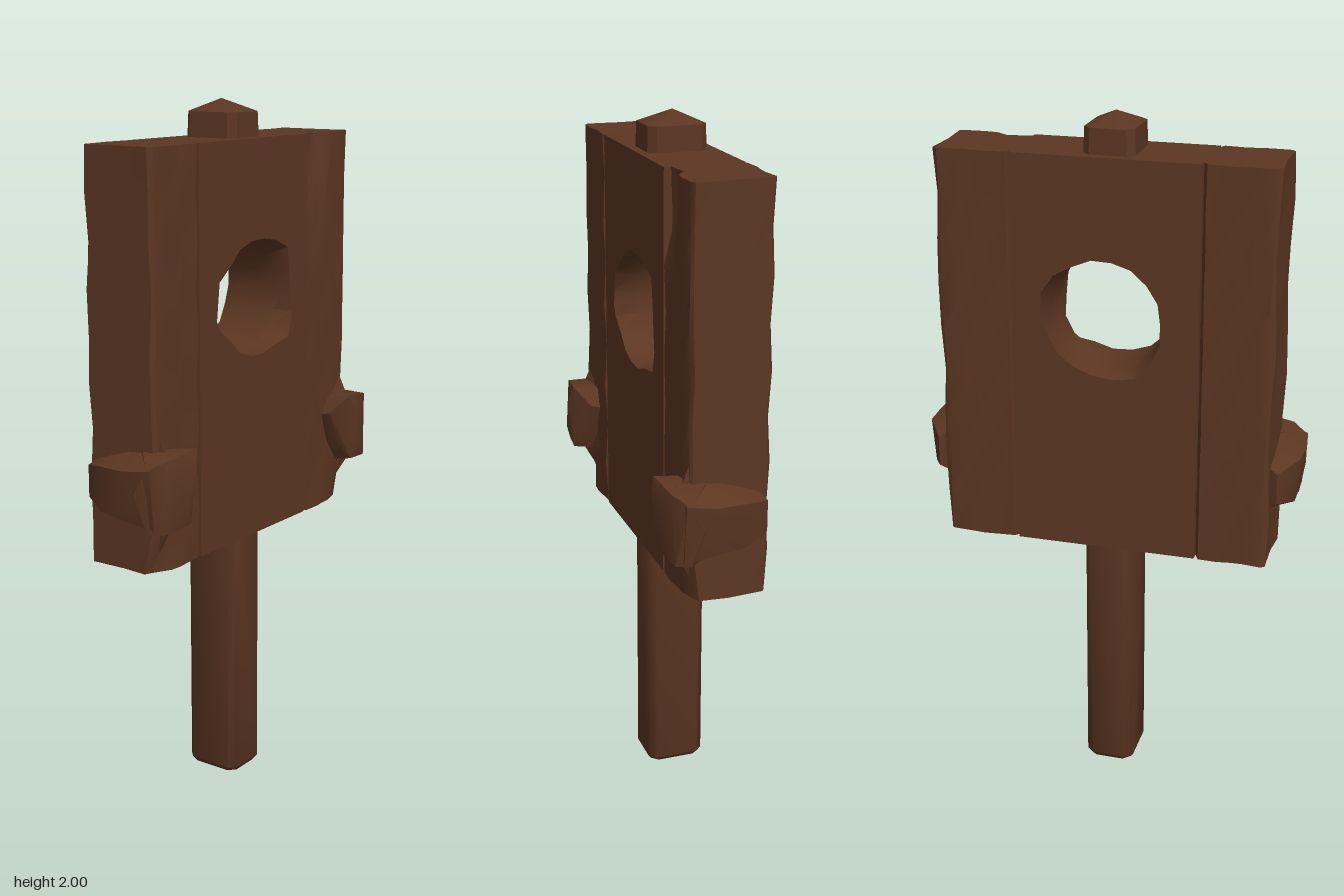
import * as THREE from 'three';
import { toCreasedNormals } from 'three/addons/utils/BufferGeometryUtils.js';
import { ConvexGeometry } from 'three/addons/geometries/ConvexGeometry.js';

const BOTTOM = 0.755, TOP = 1.895, BACK = -0.15, FRONT = 0.075;
const HOLE = { x: 0, y: 1.45, r: 0.165 };

// Repeatable roughness that depends only on position
const rough = (a, b, c, amount) => amount * Math.sin(a * 37.1 + b * 23.7 + c * 51.3);

function moveVertices(geometry, rule) {
  const p = geometry.attributes.position;
  const v = new THREE.Vector3();
  for (let i = 0; i < p.count; i++) {
    rule(v.fromBufferAttribute(p, i));
    p.setXYZ(i, v.x, v.y, v.z);
  }
  return geometry;
}

function addMesh(parent, name, geometry, material, crease = 0.6) {
  const mesh = new THREE.Mesh(toCreasedNormals(geometry, crease), material);
  mesh.name = name;
  parent.add(mesh);
  return mesh;
}

// Side plank with chamfered long edges and a worn surface
function sidePlank(x0, x1, chipped) {
  const w = x1 - x0, h = TOP - BOTTOM, d = FRONT - BACK;
  const g = new THREE.BoxGeometry(w, h, d, 6, 9, 2);
  g.translate((x0 + x1) / 2, (TOP + BOTTOM) / 2, (FRONT + BACK) / 2);
  const middle = (FRONT + BACK) / 2;
  return moveVertices(g, (v) => {
    const t = (v.x - x0) / w;
    const face = Math.abs(v.z - middle) > 0.1;
    const edge = Math.min(t, 1 - t);
    const outer = (t < 0.5) === (x0 < 0);
    // Draw the second column towards the edge to form a narrow chamfer
    if (edge > 0.1 && edge < 0.2) v.x = t < 0.5 ? x0 + 0.012 : x1 - 0.012;
    if (face && edge < 0.01) v.z -= Math.sign(v.z - middle) * (outer ? 0.008 : 0.022);
    if (face) v.z += rough(v.x, v.y, v.z, 0.004);
    if (outer && edge < 0.01) v.x += rough(v.y, v.z, v.x, 0.005);
    // Splintered upper front corner
    if (chipped && v.z > 0.04 && v.y > 1.72 && t > 0.1 && t < 0.4) v.z -= 0.025;
    // Worn lower front corner
    if (v.z > 0.04 && v.y < 0.8 && outer && edge < 0.2) v.z -= 0.025;
  });
}

// Middle plank with a rough opening, widened by chips at both faces
function middlePlank(x0, x1) {
  const shape = new THREE.Shape();
  shape.moveTo(x0, BOTTOM);
  shape.lineTo(x1, BOTTOM);
  shape.lineTo(x1, TOP);
  shape.lineTo(x0, TOP);
  shape.closePath();
  const ring = [];
  for (let i = 0; i < 18; i++) {
    const a = -i / 18 * Math.PI * 2;
    const r = HOLE.r * (i % 2 ? 0.985 : 1);
    ring.push(new THREE.Vector2(HOLE.x + r * Math.cos(a), HOLE.y + r * Math.sin(a)));
  }
  shape.holes.push(new THREE.Path(ring));
  const g = new THREE.ExtrudeGeometry(shape, {
    depth: FRONT - BACK, steps: 4, bevelEnabled: false
  });
  g.translate(0, 0, BACK);
  moveVertices(g, (v) => {
    const dx = v.x - HOLE.x, dy = v.y - HOLE.y;
    if (Math.hypot(dx, dy) > 0.2) return;
    const a = Math.atan2(dy, dx);
    const near = (target, width) => Math.max(0, 1 - Math.abs(a - target) / width);
    let k = 1.015;
    if (v.z > FRONT - 0.01) {
      k += 0.32 * near(-0.6, 0.5) + 0.22 * near(0.75, 0.5)
        + 0.3 * Math.max(0, 1 - (Math.PI - Math.abs(a)) / 0.7);
    } else if (v.z < BACK + 0.01) {
      k += 0.15 * near(-2.2, 0.8) + 0.12 * near(0.4, 0.6);
    } else if (v.z > 0) k = 1.01;
    v.x = HOLE.x + dx * k;
    v.y = HOLE.y + dy * k;
  });
  g.computeVertexNormals();
  return g;
}

// Square post section with cut corners
function postRing(y, inset) {
  const x0 = -0.083 + inset, x1 = 0.062 - inset, z0 = -0.122 + inset, z1 = 0.05 - inset, c = 0.02;
  return [
    [x0 + c, z0], [x1 - c, z0], [x1, z0 + c], [x1, z1 - c],
    [x1 - c, z1], [x0 + c, z1], [x0, z1 - c], [x0, z0 + c]
  ].map(([x, z]) => new THREE.Vector3(x, y, z));
}

// Rounded lump from corner points, mirrored by side
const lump = (side, points) =>
  new ConvexGeometry(points.map(([x, y, z]) => new THREE.Vector3(x * side, y, z)));

export function createModel() {
  const model = new THREE.Group();
  model.name = 'woodenBoardOnPost';
  const wood = new THREE.MeshStandardMaterial({ color: 0x5c3622 });
  wood.name = 'dark brown wood';

  // Board of three planks
  const board = new THREE.Group();
  board.name = 'board';
  model.add(board);
  addMesh(board, 'rightPlank', sidePlank(-0.477, -0.272, false), wood);
  addMesh(board, 'middlePlank', middlePlank(-0.272, 0.254), wood);
  addMesh(board, 'leftPlank', sidePlank(0.254, 0.47, true), wood);

  // Post below and its pointed end above the board
  addMesh(model, 'post', new ConvexGeometry([
    ...postRing(0, 0.01), ...postRing(0.015, 0), ...postRing(0.78, 0)
  ]), wood, 0.9);
  addMesh(model, 'postTip', new ConvexGeometry([
    ...postRing(1.87, 0), ...postRing(1.965, 0.003), new THREE.Vector3(-0.012, 2, -0.04)
  ]), wood, 0.4);

  // Clasps that wrap round both sides of the board
  for (const side of [-1, 1]) {
    const clasp = new THREE.Group();
    clasp.name = side > 0 ? 'leftClasp' : 'rightClasp';
    model.add(clasp);
    addMesh(clasp, 'claspSide', lump(side, [
      [0.46, 1.06, -0.12], [0.46, 0.92, -0.11], [0.5, 1.04, -0.135], [0.5, 0.95, -0.135],
      [0.55, 1.06, -0.06], [0.54, 0.93, -0.06], [0.46, 1.1, 0], [0.46, 0.9, 0],
      [0.555, 1.06, 0.03], [0.545, 0.95, 0.03], [0.545, 1.07, 0.11], [0.525, 0.9, 0.11],
      [0.46, 1.1, 0.11], [0.46, 0.89, 0.11]
    ]), wood, 0.8);
    addMesh(clasp, 'claspFront', lump(side, [
      [0.35, 1.04, 0.07], [0.39, 0.93, 0.07], [0.38, 1.09, 0.06], [0.41, 0.885, 0.06],
      [0.35, 1.05, 0.105], [0.385, 0.95, 0.11], [0.39, 1.105, 0.15], [0.41, 0.9, 0.145],
      [0.41, 1.05, 0.162], [0.44, 0.96, 0.16], [0.5, 1.09, 0.135], [0.51, 0.89, 0.13],
      [0.545, 1.07, 0.1], [0.53, 0.89, 0.09], [0.55, 1.0, 0.06], [0.47, 1.1, 0.03],
      [0.47, 0.885, 0.03]
    ]), wood, 0.7);
    // Tapered blend between clasp and board
    addMesh(clasp, 'claspBase', lump(side, [
      [0.34, 0.9, 0.06], [0.46, 0.9, 0.11], [0.475, 0.9, 0.0], [0.44, 0.81, 0.06],
      [0.36, 1.1, 0.06], [0.45, 1.18, 0.06], [0.46, 1.08, 0.1]
    ]), wood, 0.9);
  }
  return model;
}
